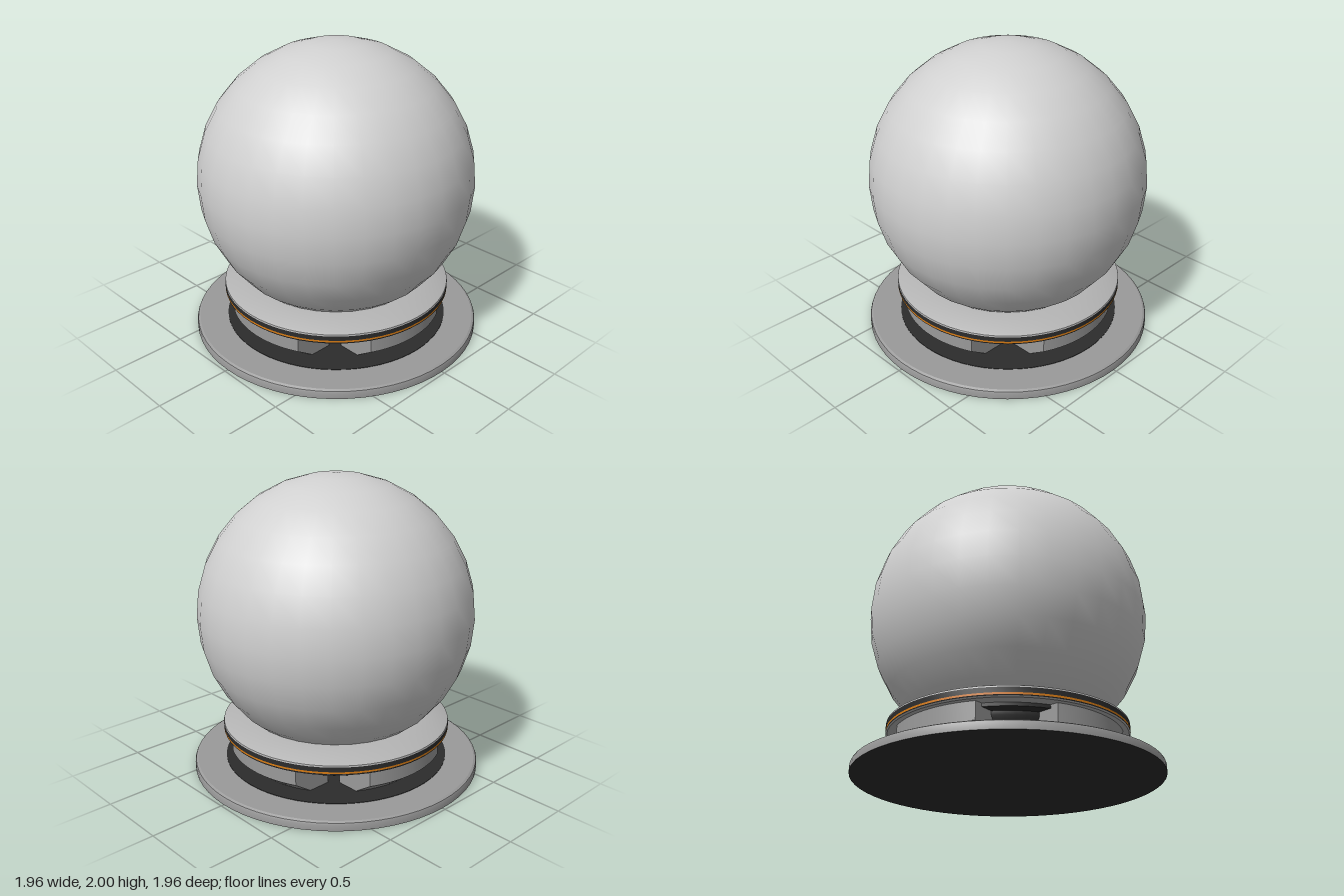
import * as THREE from 'three';
import { toCreasedNormals } from 'three/addons/utils/BufferGeometryUtils.js';

const paint = (name, color) => {
  const m = new THREE.MeshStandardMaterial({ color });
  m.name = name;
  return m;
};

// Turned part from [radius, height] pairs, listed from bottom to top
function turned(name, profile, material, segments = 64) {
  const points = profile.map(([r, y]) => new THREE.Vector2(r, y));
  const geometry = toCreasedNormals(new THREE.LatheGeometry(points, segments), 0.45);
  const mesh = new THREE.Mesh(geometry, material);
  mesh.name = name;
  return mesh;
}

// Foot with a curved outer face, parallel sides and a chamfered lower edge
function footGeometry() {
  const half = 0.325, inner = 0.38, outer = 0.73, lower = 0.62;
  const top = 0.262, bevel = 0.145, bottom = 0.06;
  const end = Math.acos(half / outer);
  const shape = new THREE.Shape();
  shape.moveTo(-half, inner);
  shape.lineTo(half, inner);
  shape.absarc(0, 0, outer, end, Math.PI - end, false);
  shape.closePath();
  const geometry = new THREE.ExtrudeGeometry(shape, {
    depth: 2, steps: 2, bevelEnabled: false, curveSegments: 16,
  });
  geometry.rotateX(Math.PI / 2);
  const p = geometry.attributes.position;
  for (let i = 0; i < p.count; i++) {
    const level = Math.round(-p.getY(i));
    p.setY(i, [top, bevel, bottom][level]);
    const x = p.getX(i);
    if (level === 2 && p.getZ(i) > inner + 0.01) {
      p.setZ(i, Math.sqrt(lower * lower - x * x));
    }
  }
  geometry.computeVertexNormals();
  return toCreasedNormals(geometry, 0.45);
}

export function createModel() {
  const pale = paint('pale grey', 0xd0d0d0);
  const collarGrey = paint('collar grey', 0xb4b4b4);
  const grey = paint('mid grey', 0x9a9a9a);
  const dark = paint('charcoal', 0x2c2c2c);
  const orange = paint('orange', 0xd87c14);

  const model = new THREE.Group();
  model.name = 'globeOnStand';

  // Large globe
  const globe = new THREE.Mesh(new THREE.SphereGeometry(0.92, 32, 16), pale);
  globe.name = 'globe';
  globe.position.y = 1.08;
  model.add(globe);

  // Base plate with dark underside and dark inlay
  model.add(
    turned('basePlate', [[0.98, 0], [0.98, 0.04], [0.975, 0.052], [0.96, 0.06], [0, 0.06]], grey),
    turned('baseUnderside', [[0, 0], [0.98, 0]], dark),
    turned('baseInlay', [[0.765, 0.06], [0.765, 0.063], [0, 0.063]], dark),
  );

  // Dark core between the feet
  model.add(
    turned('core', [
      [0.385, 0.06], [0.385, 0.12], [0.48, 0.125], [0.56, 0.145], [0.6, 0.175],
      [0.615, 0.21], [0.615, 0.235], [0.685, 0.238], [0.685, 0.262],
    ], dark),
  );

  // Four feet
  const foot = footGeometry();
  for (let i = 0; i < 4; i++) {
    const mesh = new THREE.Mesh(foot, grey);
    mesh.name = 'foot' + (i + 1);
    mesh.rotation.y = i * Math.PI / 2;
    model.add(mesh);
  }

  // Layered collar holding the globe
  model.add(
    turned('collarUnderside', [[0.4, 0.26], [0.765, 0.26], [0.772, 0.268]], collarGrey),
    turned('collarLowerBand', [[0.772, 0.268], [0.774, 0.274]], dark),
    turned('collarStripe', [[0.774, 0.274], [0.774, 0.286]], orange),
    turned('collarUpperBand', [[0.774, 0.286], [0.774, 0.318]], dark),
    turned('collarTop', [[0.774, 0.318], [0.772, 0.328], [0.755, 0.336], [0.61, 0.38], [0.57, 0.38]], collarGrey),
  );

  return model;
}
